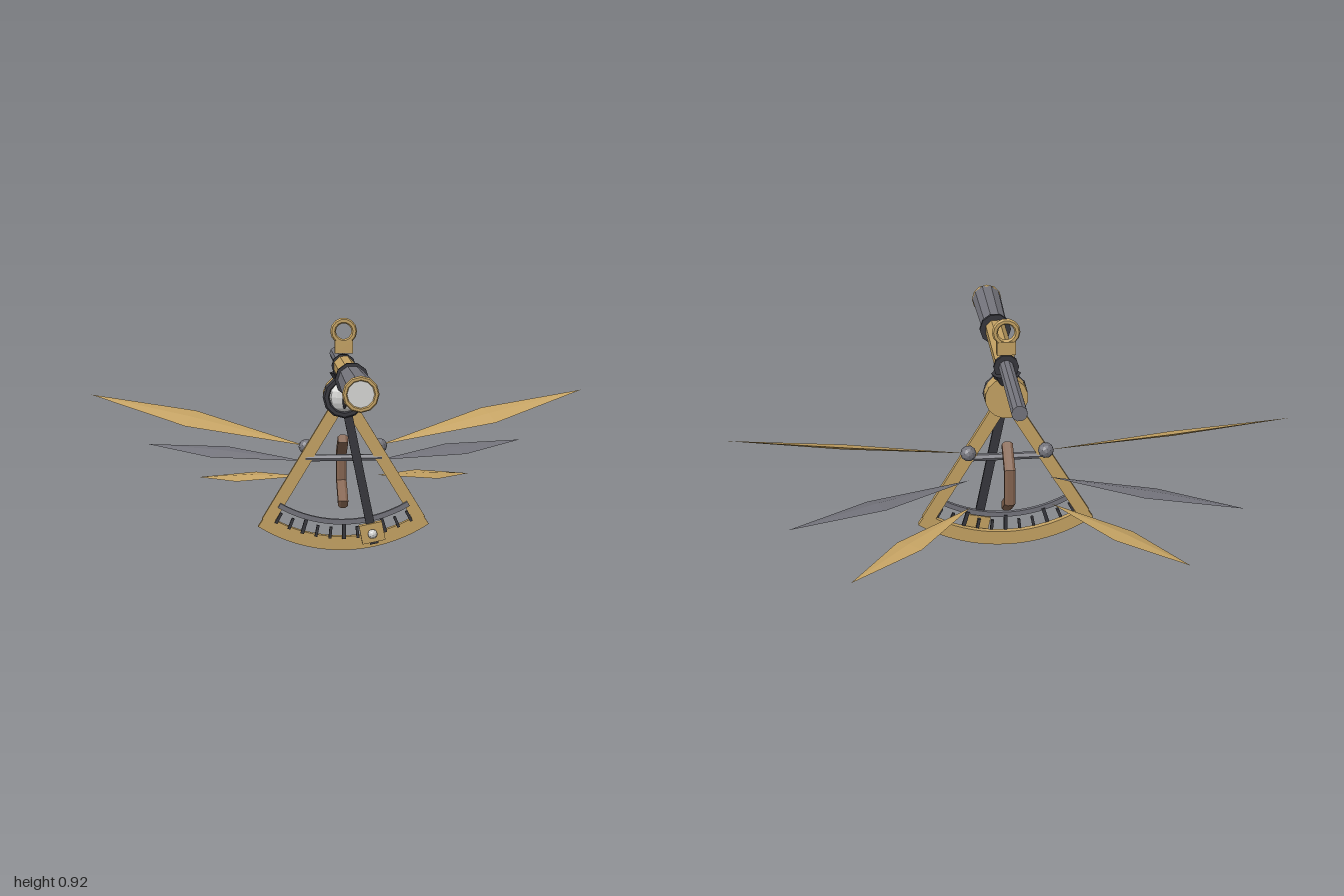
import * as THREE from 'three';

const mat = (name, color) => {
  const m = new THREE.MeshStandardMaterial({ color, flatShading: true });
  m.name = name;
  return m;
};

export function createModel() {
  const brass = mat('brass', 0xc4a263);
  const steel = mat('steel', 0x74747c);
  const iron = mat('black iron', 0x36363c);
  const wood = mat('brown wood', 0x846450);
  const silver = mat('silver glass', 0xd6d6d4);

  const model = new THREE.Group();
  const PIVOT = 0.62, FRAME_Z = -0.119, AXIS_Y = 0.736;

  const add = (name, geo, material, x = 0, y = 0, z = 0, parent = model) => {
    const m = new THREE.Mesh(geo, material);
    m.name = name;
    m.position.set(x, y, z);
    parent.add(m);
    return m;
  };

  // Cylinder along z, from zBack (radius r0) to zFront (radius r1)
  const tube = (name, zBack, zFront, r0, r1, sides, material, y = AXIS_Y) => {
    const g = new THREE.CylinderGeometry(r1, r0, zFront - zBack, sides);
    g.rotateY(Math.PI / sides).rotateX(Math.PI / 2);
    return add(name, g, material, 0, y, (zBack + zFront) / 2);
  };

  // Arc band hanging below the pivot
  const arcBand = (name, rIn, rOut, half, depth, z, material) => {
    const a = -Math.PI / 2;
    const s = new THREE.Shape();
    s.absarc(0, 0, rOut, a - half, a + half, false);
    s.absarc(0, 0, rIn, a + half, a - half, true);
    const g = new THREE.ExtrudeGeometry(s, { depth, bevelEnabled: false, curveSegments: 16 });
    return add(name, g.translate(0, 0, -depth / 2), material, 0, PIVOT, z);
  };

  // Radial bar hanging from the pivot at an angle, between two radii
  const spoke = (name, angle, r0, r1, w, d, z, material) => {
    const g = new THREE.BoxGeometry(w, r1 - r0, d).translate(0, -(r0 + r1) / 2, 0).rotateZ(angle);
    return add(name, g, material, 0, PIVOT, z);
  };

  // Telescope
  tube('eyepieceTube', -0.56, -0.115, 0.028, 0.028, 10, steel);
  tube('rearCollar', -0.128, -0.112, 0.047, 0.047, 10, iron);
  tube('brassBarrel', -0.12, 0.3, 0.041, 0.041, 8, brass);
  tube('frontCollar', 0.288, 0.304, 0.062, 0.062, 10, iron);
  tube('frontBarrel', 0.3, 0.668, 0.051, 0.06, 10, steel);
  add('lensRim', new THREE.TorusGeometry(0.053, 0.009, 6, 12), brass, 0, AXIS_Y, 0.672);
  tube('lens', 0.664, 0.674, 0.05, 0.048, 12, silver);

  // Hanging ring and its block
  add('ringBlock', new THREE.BoxGeometry(0.07, 0.05, 0.028), brass, 0, 0.81, FRAME_Z);
  add('hangingRing', new THREE.TorusGeometry(0.041, 0.011, 6, 14), brass, 0, 0.87, FRAME_Z);

  // Pivot hub with slit eye
  add('telescopeClamp', new THREE.CylinderGeometry(0.055, 0.03, 0.04, 8), iron, 0, 0.69, FRAME_Z);
  tube('pivotDisc', -0.142, -0.092, 0.08, 0.08, 16, brass, PIVOT);
  add('eyeRim', new THREE.TorusGeometry(0.07, 0.014, 6, 12), iron, 0, PIVOT, -0.082);
  add('eyeBall', new THREE.SphereGeometry(0.06, 12, 8).scale(1, 1, 0.5), silver, 0, PIVOT, -0.085);
  add('eyeSlit', new THREE.SphereGeometry(1, 8, 6).scale(0.012, 0.046, 0.02), iron, 0, PIVOT, -0.066);

  // Sector frame
  const HALF = 0.58;
  arcBand('frameArc', 0.56, 0.615, HALF, 0.022, FRAME_Z, brass);
  for (const s of [-1, 1]) spoke('frameLeg', s * 0.545, 0.05, 0.58, 0.048, 0.022, FRAME_Z, brass);
  arcBand('scaleArc', 0.488, 0.508, 0.535, 0.014, -0.1, steel);
  for (let i = -5; i <= 5; i++) {
    const long = i % 3 === 0;
    spoke('scaleTick', i * 0.098, long ? 0.5 : 0.522, 0.568, long ? 0.014 : 0.011, 0.012, -0.106, iron);
  }
  add('crossBar', new THREE.CylinderGeometry(0.014, 0.014, 0.3, 6).rotateZ(Math.PI / 2), steel, 0, 0.375, FRAME_Z);

  // Index arm with clamp and knob
  const ARM = 0.2;
  spoke('indexArm', ARM, 0.04, 0.598, 0.034, 0.014, -0.091, iron);
  spoke('armClamp', ARM, 0.513, 0.588, 0.092, 0.026, -0.087, brass);
  add('clampKnob', new THREE.IcosahedronGeometry(0.019, 1), silver, 0.109, 0.08, -0.06);

  // Bent grip behind the frame, drawn as (-z, y) and extruded across x
  const grip = new THREE.Shape([
    [0.168, 0.45], [0.262, 0.383], [0.262, 0.245], [0.158, 0.173],
    [0.143, 0.196], [0.237, 0.26], [0.237, 0.365], [0.146, 0.432],
  ].map(([u, v]) => new THREE.Vector2(u, v)));
  const gripGeo = new THREE.ExtrudeGeometry(grip, {
    depth: 0.02, bevelThickness: 0.01, bevelSize: 0.006, bevelSegments: 1,
  });
  add('grip', gripGeo.translate(0, 0, -0.01).rotateY(Math.PI / 2), wood);

  // Feather blade: flattened double pyramid from root to tip
  const blade = (side, root, tip, across, half) => {
    const v = (p) => new THREE.Vector3(p[0] * side, p[1], p[2]);
    const r = v(root), t = v(tip), w = v(across).normalize();
    const n = t.clone().sub(r).cross(w).normalize();
    const mid = r.clone().lerp(t, 0.53);
    const ring = [[w, half], [n, 0.009], [w, -half], [n, -0.009]]
      .map(([d, k]) => mid.clone().addScaledVector(d, k));
    const pts = [];
    ring.forEach((a, i) => {
      const b = ring[(i + 1) % 4];
      pts.push(a, b, t, b, a, r);
    });
    const g = new THREE.BufferGeometry().setFromPoints(pts);
    g.computeVertexNormals();
    return g;
  };

  // Three blades and a hinge ball on each side
  const blades = [
    ['upperBlade', brass, [0.145, 0.415, -0.166], [1, 0.598, -0.374], [-0.04, 0.046, -0.123], 0.066],
    ['middleBlade', steel, [0.15, 0.34, -0.242], [0.793, 0.354, -0.592], [-0.1, 0.037, -0.18], 0.07],
    ['lowerBlade', brass, [0.15, 0.264, -0.312], [0.588, 0.19, -0.686], [-0.1, 0.025, -0.12], 0.066],
  ];
  blades[1][4] = [-0.107, 0.037, -0.19];
  for (const side of [-1, 1]) {
    const wing = new THREE.Group();
    wing.name = side > 0 ? 'leftWing' : 'rightWing';
    model.add(wing);
    for (const [name, m, root, tip, across, half] of blades) {
      add(name, blade(side, root, tip, across, half), m, 0, 0, 0, wing);
    }
    add('hingeBall', new THREE.IcosahedronGeometry(0.03, 1), steel, side * 0.145, 0.413, -0.162, wing);
  }
  return model;
}
